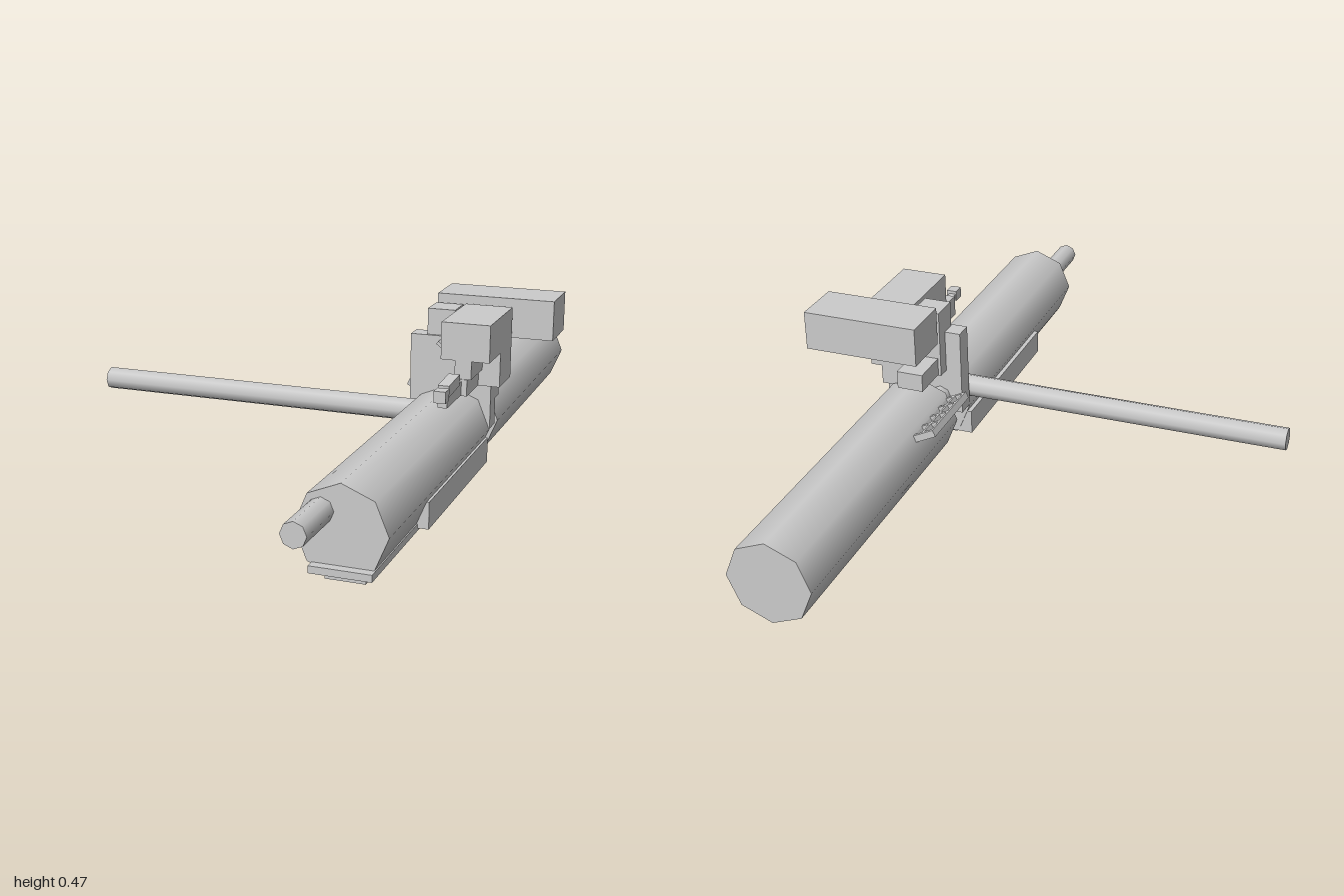
import * as THREE from 'three';

export function createModel() {
  const model = new THREE.Group();
  const grey = new THREE.MeshStandardMaterial({ color: 0xcccccc });

  function add(name, geometry, parent = model) {
    const mesh = new THREE.Mesh(geometry, grey);
    mesh.name = name;
    parent.add(mesh);
    return mesh;
  }

  // Box given by its limits on each axis
  function box(name, [x0, x1], [y0, y1], [z0, z1], parent) {
    const mesh = add(name, new THREE.BoxGeometry(x1 - x0, y1 - y0, z1 - z0), parent);
    mesh.position.set((x0 + x1) / 2, (y0 + y1) / 2, (z0 + z1) / 2);
    return mesh;
  }

  // Eight-sided cylinder lying along z
  function tubeZ(name, r, x, y, z0, z1) {
    const mesh = add(name, new THREE.CylinderGeometry(r, r, z1 - z0, 8).rotateX(Math.PI / 2));
    mesh.position.set(x, y, (z0 + z1) / 2);
    return mesh;
  }

  // Main bodies and the rods
  tubeZ('rearCylinder', 0.115, 0.386, 0.118, -1, -0.13);
  tubeZ('frontCylinder', 0.115, 0.386, 0.118, -0.04, 0.835);
  tubeZ('longRod', 0.032, 0.338, 0.163, -0.14, 1);
  const cross = add('crossRod', new THREE.CylinderGeometry(0.032, 0.032, 0.95, 8).rotateZ(Math.PI / 2));
  cross.position.set(-0.175, 0.163, 0);

  // Cradle and rails under the front cylinder
  box('cradle', [0.268, 0.498], [0.025, 0.095], [-0.037, 0.52]);
  box('railPlate', [0.317, 0.47], [0.018, 0.036], [-0.03, 0.86]);
  box('railFoot', [0.348, 0.447], [0, 0.02], [-0.02, 0.835]);

  // Upright plate between the cylinders
  box('upright', [0.272, 0.502], [0.12, 0.25], [-0.09, -0.037]);
  box('uprightTop', [0.272, 0.4], [0.25, 0.37], [-0.09, -0.037]);
  box('uprightBracket', [0.44, 0.502], [0.195, 0.25], [-0.125, -0.09]);

  // Stepped head on top of the upright
  const head = new THREE.Group();
  head.name = 'head';
  model.add(head);
  box('headTop', [0.402, 0.534], [0.345, 0.446], [-0.125, 0.115], head);
  box('headBase', [0.415, 0.534], [0.25, 0.345], [-0.125, -0.003], head);
  box('headNose', [0.44, 0.485], [0.295, 0.345], [-0.003, 0.112], head);
  box('headLip', [0.44, 0.475], [0.25, 0.295], [-0.003, 0.115], head);
  box('headSide', [0.317, 0.394], [0.25, 0.443], [-0.127, -0.045], head);
  box('headBridge', [0.39, 0.405], [0.3, 0.43], [-0.12, -0.06], head);

  // Large block and small block behind the head
  box('rearBlock', [0.317, 0.645], [0.357, 0.467], [-0.285, -0.14]);
  box('rearBlockMount', [0.34, 0.5], [0.36, 0.39], [-0.14, -0.12]);
  box('smallRearBlock', [0.325, 0.4], [0.253, 0.303], [-0.235, -0.12]);

  // Stepped arm with an end knob
  const arm = new THREE.Group();
  arm.name = 'arm';
  model.add(arm);
  box('armPlate', [0.435, 0.46], [0.252, 0.29], [0.11, 0.25], arm);
  box('armStep', [0.435, 0.465], [0.285, 0.315], [0.15, 0.25], arm).rotation.x = 0.06;
  box('armLink', [0.445, 0.465], [0.29, 0.305], [0.25, 0.285], arm);
  box('armKnob', [0.443, 0.474], [0.283, 0.314], [0.28, 0.315], arm);

  // Tilted handle beside the head
  const handle = add('handle', new THREE.BoxGeometry(0.075, 0.01, 0.02));
  handle.position.set(0.383, 0.333, -0.027);
  handle.rotation.z = -0.65;
  box('handleGrip', [0.383, 0.405], [0.342, 0.356], [-0.035, -0.005]).rotation.z = -0.6;

  // Open rack of cells on the side of the rear cylinder
  const rack = new THREE.Group();
  rack.name = 'rack';
  rack.position.set(0.27, 0.19, -0.245);
  rack.rotation.z = -0.46;
  model.add(rack);
  for (const x of [-0.032, 0, 0.032]) {
    box('rackRail', [x - 0.004, x + 0.004], [-0.006, 0.01], [-0.115, 0.115], rack);
  }
  for (let i = 0; i <= 4; i++) {
    const z = -0.11 + i * 0.055;
    box('rackRung', [-0.035, 0.035], [-0.006, 0.01], [z - 0.005, z + 0.005], rack);
  }
  box('rackBase', [-0.035, 0.045], [-0.01, -0.005], [-0.115, 0.115], rack);

  return model;
}
